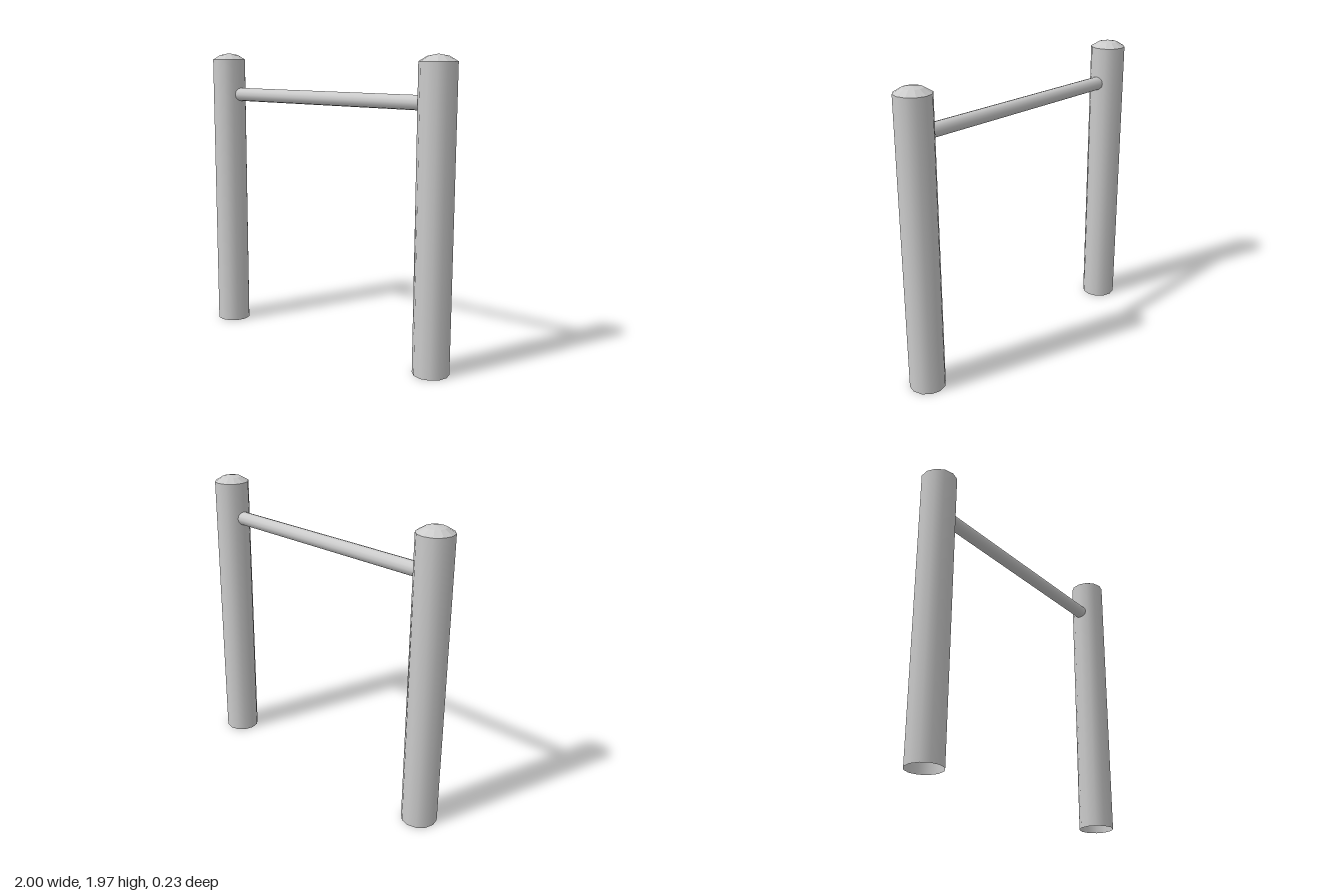
import * as THREE from 'three';

const SIDES = 12;
const POST_R = 0.117;
const POST_H = 1.926;
const POST_X = 1 - POST_R;

export function createModel() {
  const model = new THREE.Group();
  model.name = 'pullUpBar';
  const side = THREE.DoubleSide;
  const smooth = new THREE.MeshStandardMaterial({ color: 0xcccccc, side });
  const faceted = new THREE.MeshStandardMaterial({ color: 0xcccccc, side, flatShading: true });

  const add = (parent, name, geometry, material) => {
    const mesh = new THREE.Mesh(geometry, material);
    mesh.name = name;
    parent.add(mesh);
    return mesh;
  };

  // Post shaft, a tube open at the bottom
  const shaft = new THREE.CylinderGeometry(POST_R, POST_R, POST_H, SIDES, 1, true);
  shaft.translate(0, POST_H / 2, 0);

  // Shallow faceted dome that closes the top of a post, profile from the axis outwards
  const dome = new THREE.LatheGeometry([
    new THREE.Vector2(POST_R, POST_H),
    new THREE.Vector2(0.065, 1.957),
    new THREE.Vector2(0, 1.97),
  ], SIDES);

  for (const [sign, name] of [[1, 'leftPost'], [-1, 'rightPost']]) {
    const post = new THREE.Group();
    post.name = name;
    post.position.x = sign * POST_X;
    add(post, 'shaft', shaft, smooth);
    add(post, 'cap', dome, faceted);
    model.add(post);
  }

  // Horizontal bar, its ends sunk into the posts
  const bar = add(model, 'bar', new THREE.CylinderGeometry(0.046, 0.046, 1.58, SIDES), smooth);
  bar.rotation.z = Math.PI / 2;
  bar.position.y = 1.68;

  return model;
}
